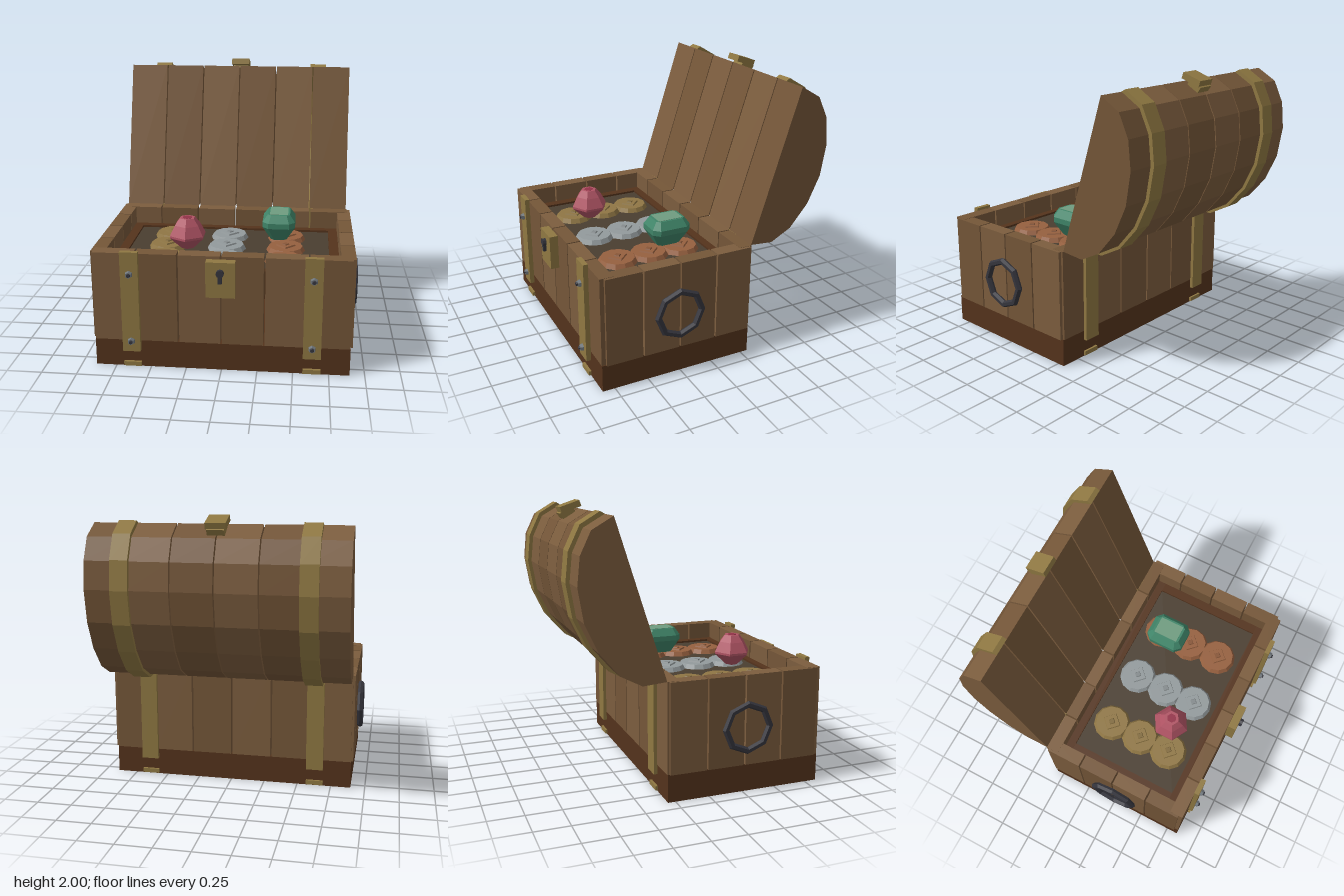
import * as THREE from 'three';
import { ConvexGeometry } from 'three/addons/geometries/ConvexGeometry.js';

const paint = (color) => new THREE.MeshStandardMaterial({ color, flatShading: true });

export function createModel() {
  const root = new THREE.Group();
  const wood = [paint(0x7c5d3e), paint(0x745638)];
  const darkWood = paint(0x54331c), floorMat = paint(0x4a3e30);
  const brass = paint(0x8f7842), iron = paint(0x35353d), steel = paint(0x6f767c);

  const add = (name, geometry, material, x = 0, y = 0, z = 0) => {
    const mesh = new THREE.Mesh(geometry, material);
    mesh.name = name;
    mesh.position.set(x, y, z);
    root.add(mesh);
    return mesh;
  };
  // Box given by its minimum and maximum on each axis
  const box = (name, material, x0, x1, y0, y1, z0, z1) =>
    add(name, new THREE.BoxGeometry(x1 - x0, y1 - y0, z1 - z0), material,
      (x0 + x1) / 2, (y0 + y1) / 2, (z0 + z1) / 2);
  // Outline in (depth behind the origin, height), extruded across the width
  const acrossX = (name, outline, material, x0, x1) => {
    const shape = new THREE.Shape(outline.map(([d, y]) => new THREE.Vector2(d, y)));
    const geometry = new THREE.ExtrudeGeometry(shape, { depth: x1 - x0, bevelEnabled: false });
    geometry.rotateY(Math.PI / 2);
    return add(name, geometry, material, x0);
  };

  // Base
  box('base', darkWood, -0.895, 0.895, 0, 0.2, -0.305, 0.84);

  // Wall planks: six along front and back, four on each side
  const gap = 0.006;
  for (let i = 0; i < 6; i++) {
    const x0 = -0.9 + i * 0.299 + gap, x1 = -0.9 + (i + 1) * 0.299 - gap;
    box('frontPlank', wood[i % 2], x0, x1, 0.2, 0.85, 0.74, 0.84);
    box('backPlank', wood[i % 2], x0, x1, 0.2, 0.85, -0.31, -0.215);
  }
  for (let i = 0; i < 4; i++) {
    const z0 = -0.3 + i * 0.279 + gap, z1 = -0.3 + (i + 1) * 0.279 - gap;
    box('rightPlank', wood[i % 2], -0.91, -0.81, 0.2, 0.848, z0, z1);
    box('leftPlank', wood[i % 2], 0.81, 0.91, 0.2, 0.848, z0, z1);
  }

  // Inner tray carrying the treasure
  box('trayFloor', floorMat, -0.74, 0.74, 0.51, 0.7, -0.155, 0.685);
  for (const [z0, z1] of [[-0.215, -0.155], [0.685, 0.74]])
    box('trayRim', darkWood, -0.81, 0.81, 0.51, 0.715, z0, z1);
  for (const [x0, x1] of [[-0.81, -0.74], [0.74, 0.81]])
    box('trayRim', darkWood, x0, x1, 0.51, 0.715, -0.155, 0.685);

  // Open lid: solid barrel-shaped slices
  const arc = [[0.31, 0.85], [0.48, 0.837], [0.633, 0.918], [0.77, 1.08], [0.862, 1.278],
    [0.9, 1.507], [0.88, 1.7], [0.806, 1.855], [0.66, 1.94]];
  const outerArc = [[0.31, 0.822], [0.482, 0.812], [0.645, 0.9], [0.79, 1.067], [0.886, 1.27],
    [0.927, 1.507], [0.906, 1.71], [0.825, 1.878], [0.69, 1.958]];
  for (let i = 0; i < 6; i++)
    acrossX('lidPlank', arc, wood[i % 2], -0.895 + i * 0.297 + gap / 2, -0.895 + (i + 1) * 0.297 - gap);

  // Brass straps with bolts, on both sides
  for (const x of [-0.63, 0.63]) {
    const x0 = x - 0.0625, x1 = x + 0.0625;
    acrossX('lidStrap', [...outerArc, ...[...arc].reverse()], brass, x0, x1);
    box('frontStrap', brass, x0, x1, 0.13, 0.87, 0.838, 0.875);
    box('backStrap', brass, x0, x1, 0.13, 0.85, -0.335, -0.308);
    box('bottomStrap', brass, x0, x1, 0.008, 0.04, -0.322, 0.86);
    for (const y of [0.21, 0.71]) {
      const washer = add('boltHead', new THREE.CylinderGeometry(0.022, 0.028, 0.022, 6), steel, x, y, 0.886);
      const tip = add('boltTip', new THREE.CylinderGeometry(0.012, 0.016, 0.012, 6), iron, x, y, 0.902);
      washer.rotation.x = tip.rotation.x = Math.PI / 2;
    }
  }

  // Lock plate, keyhole and lid clasp
  box('lockPlate', brass, -0.1, 0.1, 0.575, 0.83, 0.838, 0.903);
  const hole = add('keyholeRound', new THREE.CylinderGeometry(0.028, 0.028, 0.026, 8), iron, 0, 0.756, 0.916);
  hole.rotation.x = Math.PI / 2;
  box('keyholeSlot', iron, -0.013, 0.013, 0.685, 0.75, 0.9, 0.926);
  const clasp = add('lidClasp', new THREE.BoxGeometry(0.14, 0.045, 0.15), brass, 0, 1.956, -0.73);
  clasp.rotation.x = -0.325;
  const claspMount = add('claspMount', new THREE.BoxGeometry(0.12, 0.05, 0.1), brass, 0, 1.915, -0.75);
  claspMount.rotation.x = -0.6;

  // Octagonal ring handles
  for (const side of [-1, 1]) {
    const ring = add('handle', new THREE.TorusGeometry(0.167, 0.025, 6, 8), iron, side * 0.929, 0.478, 0.27);
    ring.rotation.y = Math.PI / 2;
  }

  // Three rows of coins, each with a raised diamond
  [[-0.46, 0x8f7644], [-0.02, 0x939a9c], [0.42, 0x96603f]].forEach(([x, color]) => {
    const coinMat = paint(color), stampMat = paint(new THREE.Color(color).multiplyScalar(0.8));
    [0.015, 0.265, 0.51].forEach((z, k) => {
      const y = 0.715 + k * 0.001;
      add('coin', new THREE.CylinderGeometry(0.125, 0.145, 0.035, 12), coinMat, x, y, z);
      add('coinDiamond', new THREE.CylinderGeometry(0.068, 0.075, 0.012, 4), coinMat, x, y + 0.022, z);
      add('coinCentre', new THREE.CylinderGeometry(0.024, 0.03, 0.008, 4), stampMat, x, y + 0.031, z);
    });
  });

  // Six-sided pink gem
  const pinkProfile = [[0, 0.75], [0.05, 0.765], [0.138, 0.85], [0.138, 0.866], [0.098, 0.94], [0.058, 0.99], [0, 0.99]]
    .map(([r, y]) => new THREE.Vector2(r, y));
  add('pinkGem', new THREE.LatheGeometry(pinkProfile, 6), paint(0xb05464), -0.287, 0, 0.44);
  add('pinkGemTable', new THREE.CylinderGeometry(0.036, 0.036, 0.004, 6), paint(0x933248), -0.287, 0.99, 0.44);

  // Step-cut green gem: octagonal rings of half width, half depth, corner cut and height
  const corners = [];
  for (const [w, d, c, y] of [[0.06, 0.09, 0.025, 0.745], [0.122, 0.15, 0.045, 0.85],
    [0.122, 0.15, 0.045, 0.89], [0.083, 0.112, 0.025, 0.945]])
    for (const sx of [-1, 1]) for (const sz of [-1, 1])
      corners.push(new THREE.Vector3(sx * w, y, sz * (d - c)), new THREE.Vector3(sx * (w - c), y, sz * d));
  add('greenGem', new ConvexGeometry(corners), paint(0x3f8468), 0.363, 0, 0.09);
  box('greenGemTable', paint(0x6f9c80), 0.295, 0.431, 0.943, 0.947, -0.005, 0.185);

  return root;
}
